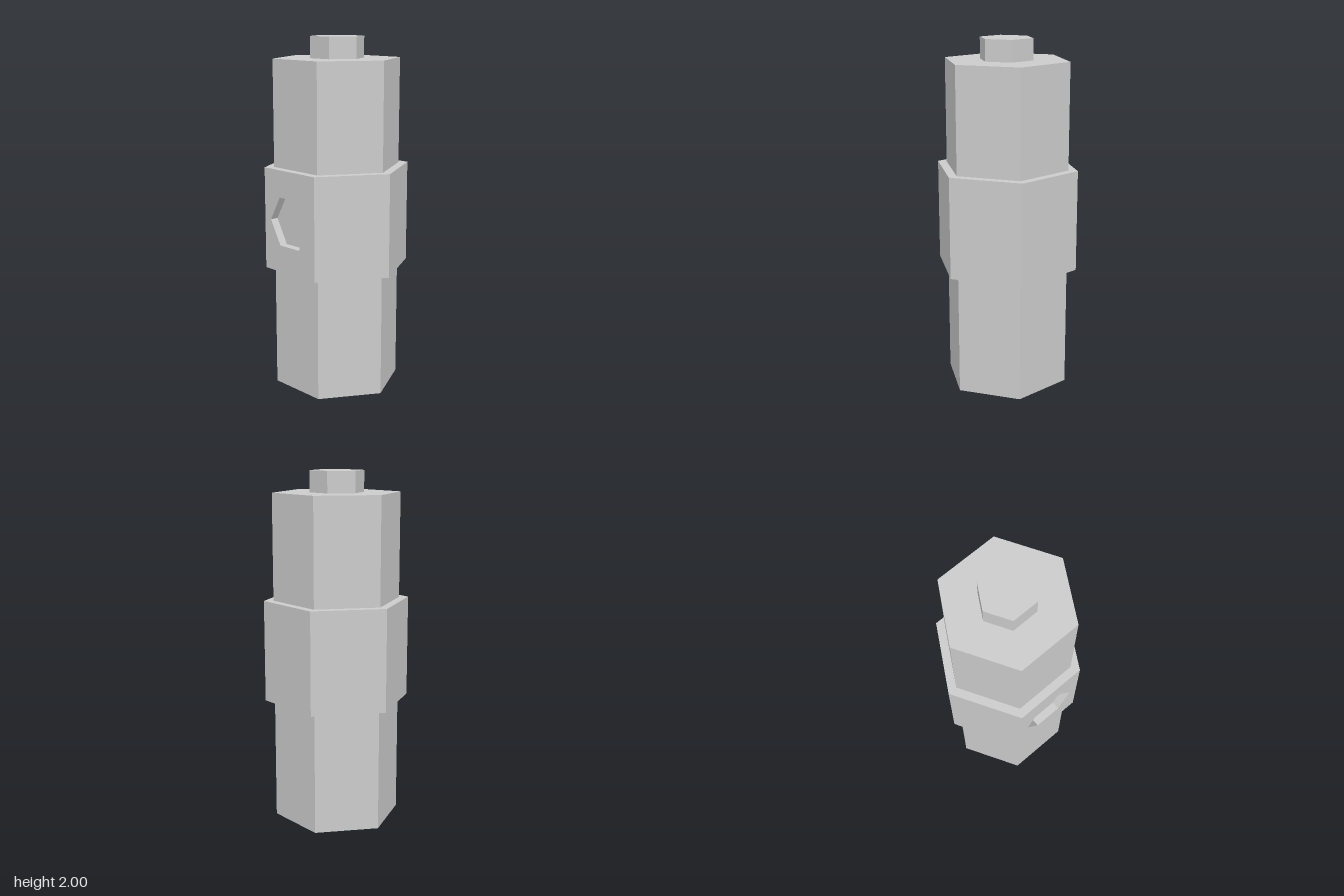
import * as THREE from 'three';

const BODY_R = 0.363, COLLAR_R = 0.417, STUD_R = 0.154, SOCKET_R = 0.158;
const COLLAR_LOW = 0.7, COLLAR_HIGH = 1.28, SOCKET_Y = 0.99;
const apothem = (r) => r * Math.cos(Math.PI / 6);

export function createModel() {
  const model = new THREE.Group();
  const grey = new THREE.MeshStandardMaterial({ color: 0xcccccc, flatShading: true });
  const inner = grey.clone();
  inner.side = THREE.BackSide;

  const add = (name, geometry, parent = model, material = grey) => {
    const mesh = new THREE.Mesh(geometry, material);
    mesh.name = name;
    parent.add(mesh);
    return mesh;
  };

  // Upright hexagonal prism with flat faces to the front and back
  const prism = (r, y0, y1) =>
    new THREE.CylinderGeometry(r, r, y1 - y0, 6, 1, false, Math.PI / 6).translate(0, (y0 + y1) / 2, 0);

  add('body', prism(BODY_R, 0, 1.88));
  add('topStud', prism(STUD_R, 1.88, 2));

  // Collar: five plain sides, two rims and a front face with a socket
  const collar = new THREE.Group();
  collar.name = 'collar';
  model.add(collar);

  const sideProfile = [COLLAR_LOW, COLLAR_HIGH].map((y) => new THREE.Vector2(COLLAR_R, y));
  add('collarSides', new THREE.LatheGeometry(sideProfile, 5, Math.PI / 6, (5 * Math.PI) / 3), collar);

  const rim = (turn, y) =>
    new THREE.RingGeometry(BODY_R, COLLAR_R, 6).rotateX((turn * Math.PI) / 2).translate(0, y, 0);
  add('collarTopRim', rim(-1, COLLAR_HIGH), collar);
  add('collarBottomRim', rim(1, COLLAR_LOW), collar);

  // Front face with a hexagonal opening
  const half = COLLAR_R / 2;
  const face = new THREE.Shape([
    new THREE.Vector2(-half, COLLAR_LOW), new THREE.Vector2(half, COLLAR_LOW),
    new THREE.Vector2(half, COLLAR_HIGH), new THREE.Vector2(-half, COLLAR_HIGH),
  ]);
  const hexagon = Array.from({ length: 6 }, (_, i) => new THREE.Vector2(
    SOCKET_R * Math.cos((i * Math.PI) / 3), SOCKET_Y + SOCKET_R * Math.sin((i * Math.PI) / 3)));
  face.holes.push(new THREE.Path(hexagon));
  const front = apothem(COLLAR_R), floor = apothem(BODY_R);
  add('collarFront', new THREE.ShapeGeometry(face).translate(0, 0, front), collar);

  // Socket walls reach back to the body, which forms the floor
  const walls = new THREE.CylinderGeometry(SOCKET_R, SOCKET_R, front - floor, 6, 1, true, Math.PI / 6)
    .rotateX(Math.PI / 2).translate(0, SOCKET_Y, (front + floor) / 2);
  add('socketWalls', walls, collar, inner);

  return model;
}
